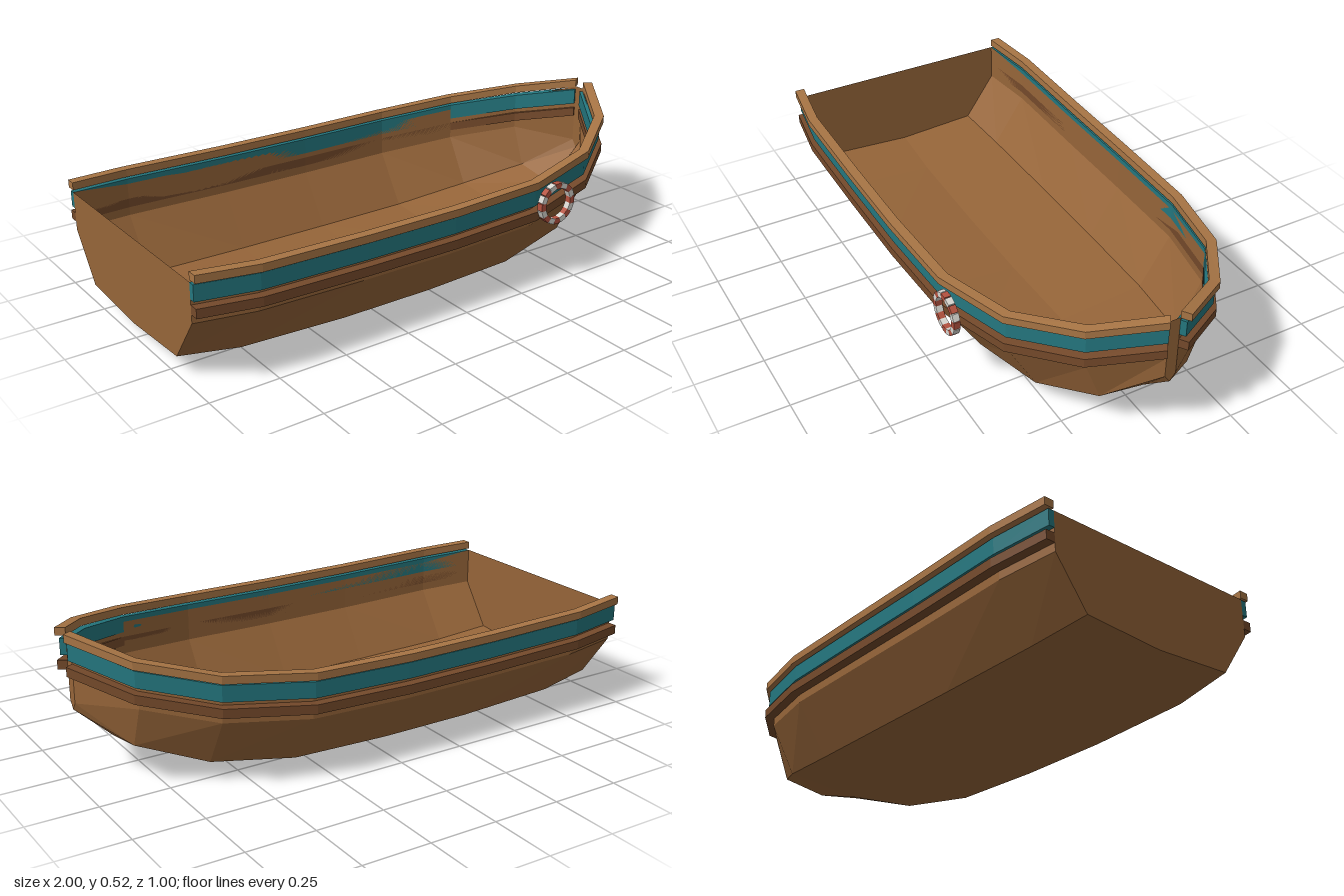
import * as THREE from 'three';

const mat = (color, side = THREE.FrontSide) =>
  new THREE.MeshStandardMaterial({ color, flatShading: true, side });

// Stations from stern to bow: x, side z, rail top y, keel y, chine z, chine y, hull top below rail
const stations = [
  [-1.0, 0.425, 0.41, 0.05, 0.305, 0.068, 0.035],
  [-0.785, 0.455, 0.4, 0.02, 0.33, 0.042, 0.055],
  [-0.39, 0.457, 0.392, 0.004, 0.34, 0.031, 0.055],
  [-0.035, 0.457, 0.39, 0.0, 0.34, 0.03, 0.055],
  [0.325, 0.447, 0.396, 0.01, 0.33, 0.036, 0.055],
  [0.62, 0.375, 0.423, 0.048, 0.28, 0.075, 0.055],
  [0.838, 0.225, 0.467, 0.117, 0.17, 0.145, 0.05],
  [0.972, 0.02, 0.52, 0.242, 0.02, 0.27, 0.025],
].map(([x, z, rail, keel, chineZ, chineY, drop]) => ({ x, z, rail, keel, chineZ, chineY, drop }));

// Outward direction of the side at each station, seen from above
stations.forEach((s, i) => {
  const a = stations[Math.max(i - 1, 0)];
  const b = stations[Math.min(i + 1, stations.length - 1)];
  const dx = b.x - a.x, dz = b.z - a.z, len = Math.hypot(dx, dz);
  s.nx = i === 0 ? 0 : -dz / len;
  s.nz = i === 0 ? 1 : dx / len;
});

// Faceted hull shell: seven points per section, closed by transom and stem
function hullGeometry() {
  const positions = [], index = [], n = 7;
  for (const s of stations) {
    const half = [
      [s.z, s.rail - s.drop],
      [s.z, s.rail - 0.175],
      [s.chineZ, s.chineY],
    ];
    const section = [...half, [0, s.keel], ...half.map(([z, y]) => [-z, y]).reverse()];
    for (const [z, y] of section) positions.push(s.x, y, z);
  }
  for (let i = 0; i < stations.length - 1; i++) {
    for (let j = 0; j < n - 1; j++) {
      const a = i * n + j, b = a + 1, c = a + n, d = c + 1;
      index.push(a, b, c, b, d, c);
    }
  }
  const bow = (stations.length - 1) * n;
  for (let j = 1; j < n - 1; j++) {
    index.push(0, j + 1, j);
    index.push(bow, bow + j, bow + j + 1);
  }
  const g = new THREE.BufferGeometry();
  g.setAttribute('position', new THREE.Float32BufferAttribute(positions, 3));
  g.setIndex(index);
  g.computeVertexNormals();
  return g;
}

// One straight board between two stations, following the side of the hull
function boardGeometry(a, b, side, top, height, inner, outer) {
  const g = new THREE.BoxGeometry(1, 1, 1);
  const p = g.attributes.position;
  for (let i = 0; i < p.count; i++) {
    const s = p.getX(i) < 0 ? a : b;
    const y = s.rail - top - (p.getY(i) < 0 ? height : 0);
    const out = p.getZ(i) * side > 0 ? outer : (s.x > 0.7 ? inner : 0);
    p.setXYZ(i, s.x + s.nx * out, y, side * (s.z + s.nz * out));
  }
  g.computeVertexNormals();
  return g;
}

export function createModel() {
  const model = new THREE.Group();
  model.name = 'rowingBoat';
  const boat = new THREE.Group();
  boat.name = 'boat';
  boat.position.z = -0.006;
  model.add(boat);

  const hull = new THREE.Mesh(hullGeometry(), mat(0x966539, THREE.DoubleSide));
  hull.name = 'hull';
  boat.add(hull);

  // Three bands of boards along both sides
  const bands = [
    { name: 'topRail', color: 0xa87545, top: 0, height: 0.028, inner: 0, outer: 0.036 },
    { name: 'paintedBand', color: 0x24777f, top: 0.036, height: 0.058, inner: -0.012, outer: 0.022 },
    { name: 'rubbingStrake', color: 0x754a2b, top: 0.112, height: 0.033, inner: -0.012, outer: 0.034 },
  ];
  for (const band of bands) {
    const group = new THREE.Group();
    group.name = band.name;
    const material = mat(band.color);
    for (const side of [1, -1]) {
      for (let i = 0; i < stations.length - 1; i++) {
        const board = new THREE.Mesh(
          boardGeometry(stations[i], stations[i + 1], side, band.top, band.height, band.inner, band.outer),
          material);
        board.name = band.name + 'Board';
        group.add(board);
      }
    }
    boat.add(group);
  }

  // Life ring of alternating red and white blocks, hung on the left-hand rail
  const ring = new THREE.Group();
  ring.name = 'lifeRing';
  ring.position.set(0.405, 0.305, 0.486);
  const red = mat(0xb4523f), white = mat(0xd8d6d0);
  const count = 16, radius = 0.066;
  const block = new THREE.BoxGeometry(0.02, 0.0265, 0.024);
  for (let i = 0; i < count; i++) {
    const angle = (i / count) * Math.PI * 2;
    const mesh = new THREE.Mesh(block, i % 2 ? white : red);
    mesh.name = 'lifeRingBlock';
    mesh.position.set(Math.cos(angle) * radius, Math.sin(angle) * radius, 0);
    mesh.rotation.z = angle;
    ring.add(mesh);
  }
  model.add(ring);
  return model;
}
